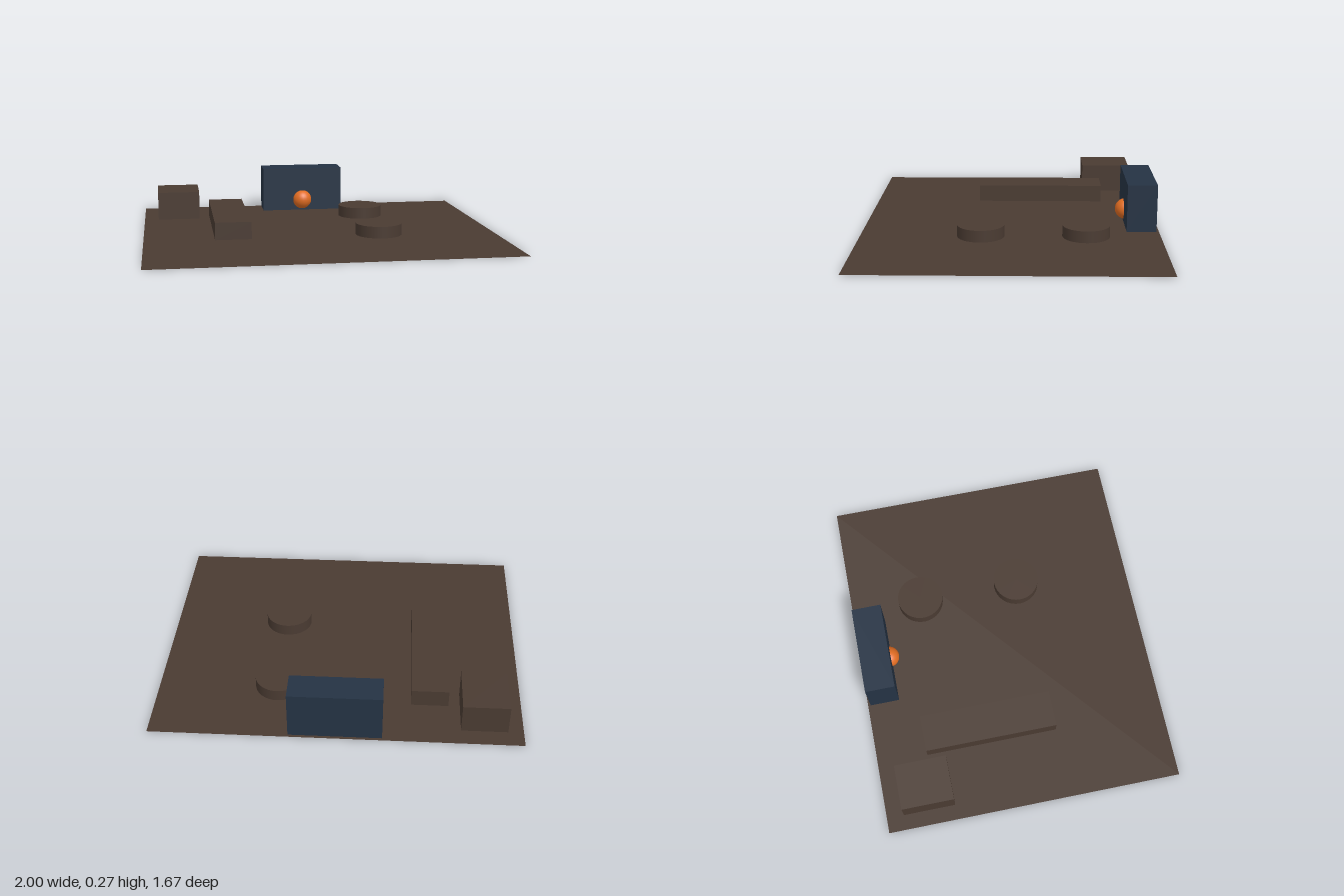
import * as THREE from 'three';

export function createModel() {
  const model = new THREE.Group();
  model.name = 'room';

  const brown = new THREE.MeshStandardMaterial({ color: 0x4a3b32, side: THREE.DoubleSide });
  brown.name = 'dark brown';
  const slate = new THREE.MeshStandardMaterial({ color: 0x253344 });
  slate.name = 'slate blue';
  const orange = new THREE.MeshStandardMaterial({ color: 0xe06c22 });
  orange.name = 'ember orange';

  const LIFT = 0.001; // keeps furniture bases just clear of the floor

  function add(name, geometry, material, x, y, z) {
    const mesh = new THREE.Mesh(geometry, material);
    mesh.name = name;
    mesh.position.set(x, y, z);
    model.add(mesh);
  }

  // Block standing on the floor
  function block(name, material, x, z, w, h, d) {
    add(name, new THREE.BoxGeometry(w, h - LIFT, d), material, x, (h + LIFT) / 2, z);
  }

  // Paper-thin floor
  add('floor', new THREE.PlaneGeometry(2, 1.667).rotateX(-Math.PI / 2), brown, 0, 0, 0);

  // Furniture
  block('hearth', slate, 0, -0.735, 0.5, 0.27, 0.167);
  block('counter', brown, -0.5025, -0.172, 0.205, 0.1, 0.75);
  block('cabinet', brown, -0.792, -0.59, 0.25, 0.167, 0.292);

  // Two round tables
  for (const [side, z] of [['back', -0.42], ['front', 0.163]]) {
    add(side + 'Table', new THREE.CylinderGeometry(0.132, 0.132, 0.067 - LIFT, 32),
      brown, 0.332, (0.067 + LIFT) / 2, z);
  }

  // Fire glowing out of the hearth face
  add('fire', new THREE.SphereGeometry(0.06, 24, 16), orange, 0, 0.068, -0.663);

  return model;
}
